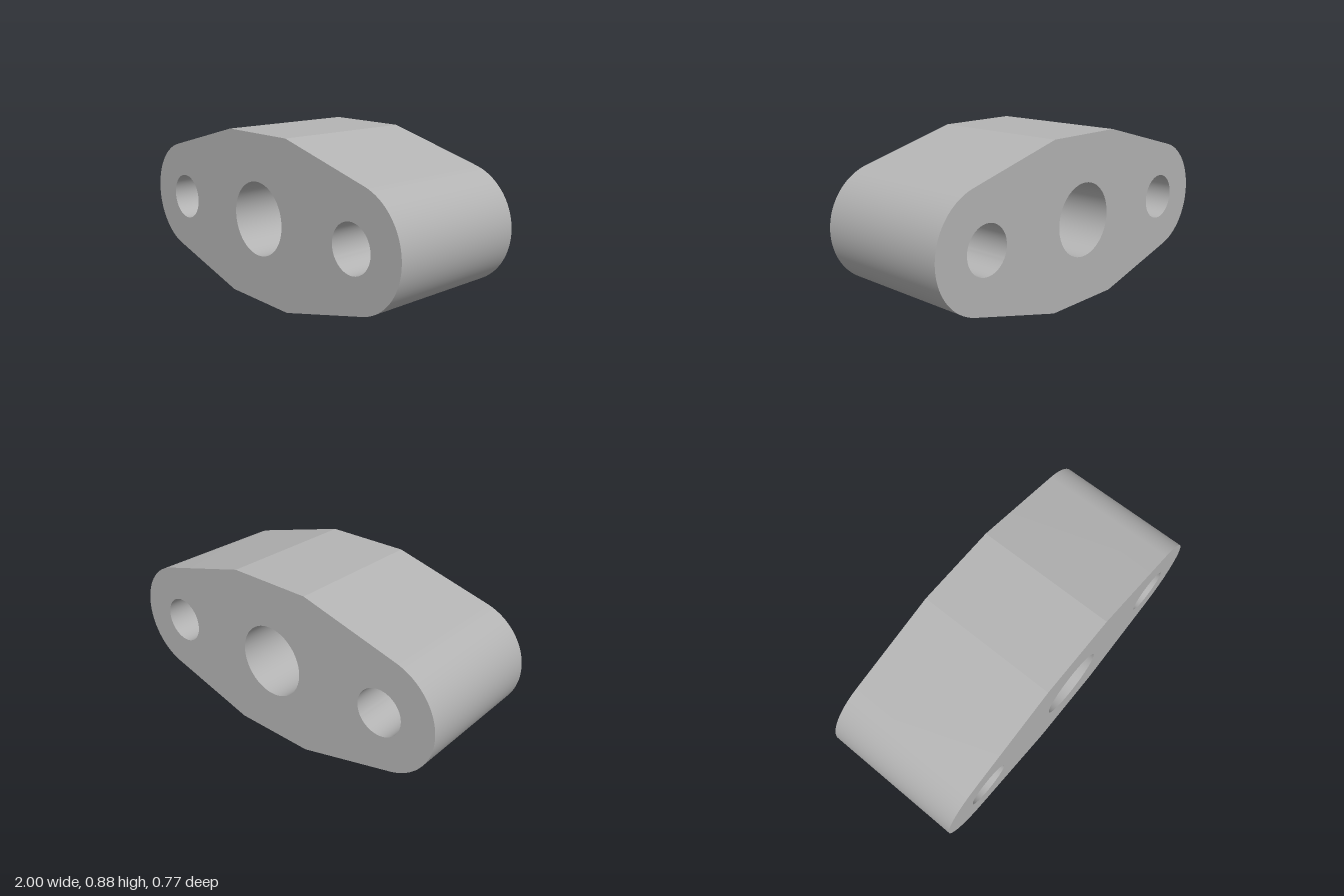
import * as THREE from 'three';
import { toCreasedNormals } from 'three/addons/utils/BufferGeometryUtils.js';

const HALF_HEIGHT = 0.4425, DEPTH = 0.766;
const END_X = 0.692, END_RADIUS = 0.308; // rounded ends
const FLAT_X = 0.231;                    // half width of the top and bottom flats
const TAPER = Math.PI / 12;              // slope of the shoulders

export function createModel() {
  const group = new THREE.Group();
  group.name = 'flange';

  const grey = new THREE.MeshStandardMaterial({ color: 0xb4b4b4 });
  grey.name = 'plain grey';

  // Outline, counter-clockwise: flats, tapered shoulders and tangent end arcs
  const outline = new THREE.Shape();
  const a = Math.PI / 2 - TAPER;
  outline.moveTo(-FLAT_X, -HALF_HEIGHT);
  outline.lineTo(FLAT_X, -HALF_HEIGHT);
  outline.absarc(END_X, 0, END_RADIUS, -a, a, false);
  outline.lineTo(FLAT_X, HALF_HEIGHT);
  outline.lineTo(-FLAT_X, HALF_HEIGHT);
  outline.absarc(-END_X, 0, END_RADIUS, Math.PI - a, Math.PI + a, false);
  outline.closePath();

  // Central bore and two bolt holes
  for (const [x, radius] of [[0, 0.195], [-END_X, 0.125], [END_X, 0.125]]) {
    const hole = new THREE.Path();
    hole.absarc(x, 0, radius, 0, Math.PI * 2, true);
    outline.holes.push(hole);
  }

  const solid = new THREE.ExtrudeGeometry(outline, { depth: DEPTH, bevelEnabled: false, curveSegments: 36 });
  solid.translate(0, HALF_HEIGHT, -DEPTH / 2);

  // Smooth arcs and bores, crisp shoulder corners and rims
  const body = new THREE.Mesh(toCreasedNormals(solid, 0.18), grey);
  body.name = 'flangeBody';
  group.add(body);
  return group;
}
